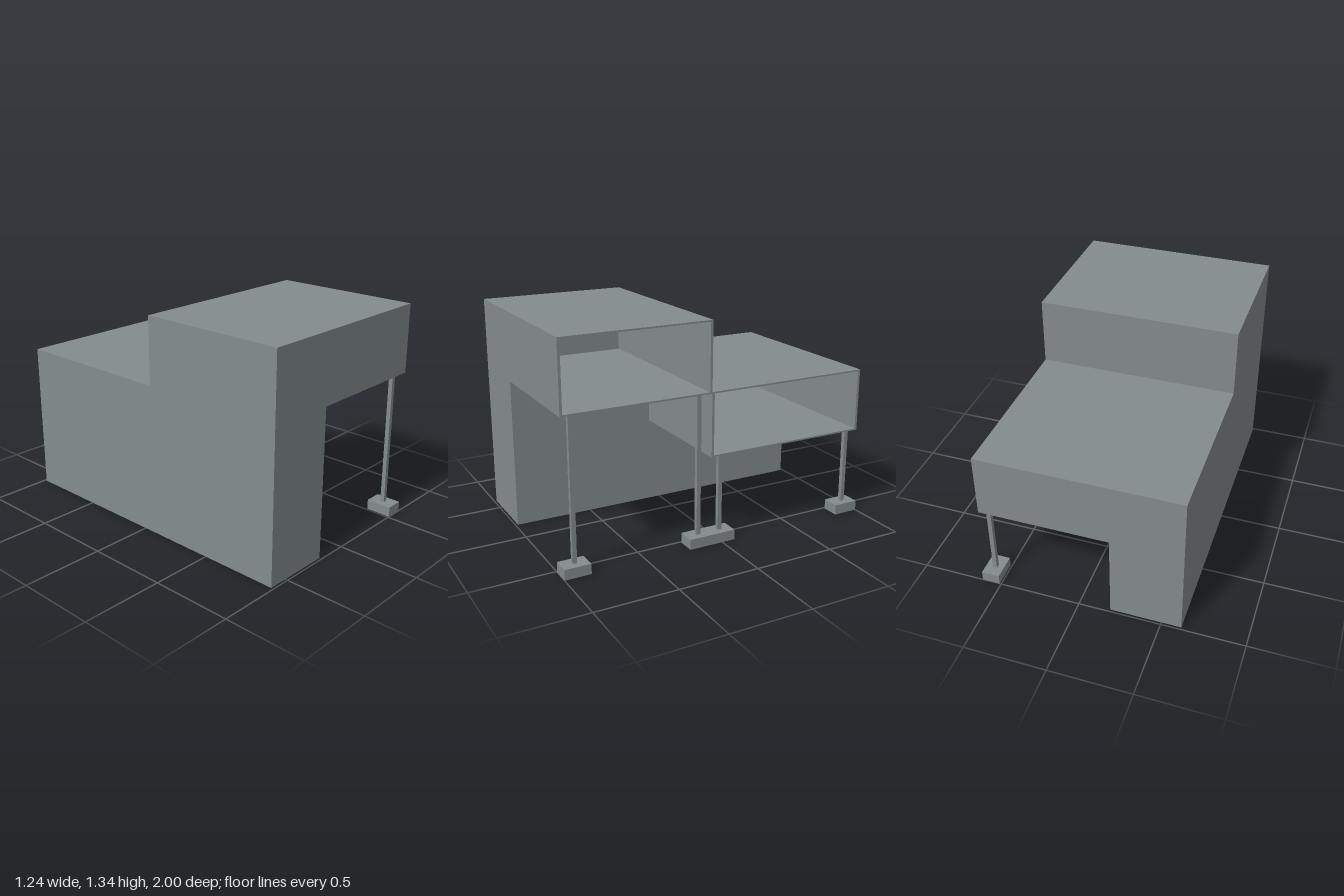
import * as THREE from 'three';

const grey = new THREE.MeshStandardMaterial({ color: 0x848c8e });
grey.name = 'concrete grey';

const X0 = -0.62, LEG = -0.19, X1 = 0.6; // back wall, inner leg face, open end
const WALL = 0.015, SLAB = 0.01;

function box(name, x0, x1, y0, y1, z0, z1) {
  const mesh = new THREE.Mesh(new THREE.BoxGeometry(x1 - x0, y1 - y0, z1 - z0), grey);
  mesh.name = name;
  mesh.position.set((x0 + x1) / 2, (y0 + y1) / 2, (z0 + z1) / 2);
  return mesh;
}

// Side profile in x/y, extruded from z0 to z1
function profile(name, points, z0, z1) {
  const shape = new THREE.Shape(points.map(([x, y]) => new THREE.Vector2(x, y)));
  const geometry = new THREE.ExtrudeGeometry(shape, { depth: z1 - z0, bevelEnabled: false });
  const mesh = new THREE.Mesh(geometry, grey);
  mesh.name = name;
  mesh.position.z = z0;
  return mesh;
}

// Cantilevered room on a full-height leg, open at the +x end
function volume(name, under, top, z0, z1) {
  const group = new THREE.Group();
  group.name = name;
  const outline = [[X0, 0], [LEG, 0], [LEG, under], [X1, under], [X1, top], [X0, top]];
  const hollow = [
    [X0, 0], [LEG, 0], [LEG, under], [X1, under], [X1, under + SLAB],
    [X0 + WALL, under + SLAB], [X0 + WALL, top - SLAB], [X1, top - SLAB], [X1, top], [X0, top],
  ];
  group.add(
    profile('frontWall', outline, z1 - WALL, z1),
    profile('legFloorAndRoof', hollow, z0 + WALL, z1 - WALL),
    profile('backWall', outline, z0, z0 + WALL),
  );
  return group;
}

export function createModel() {
  const model = new THREE.Group();
  model.name = 'steppedBuilding';

  model.add(volume('tallVolume', 0.92, 1.342, 0.07, 0.985));
  model.add(volume('lowVolume', 0.54, 0.93, -0.985, 0.07));

  // Slim posts: centre z and height of the floor they carry
  for (const [z, top] of [[0.919, 0.92], [0.139, 0.92], [-0.005, 0.54], [-0.925, 0.54]]) {
    model.add(box('post', 0.55, 0.576, 0.063, top, z - 0.013, z + 0.013));
  }

  // Footings; the middle one carries two posts
  for (const [z0, z1] of [[0.84, 1], [-0.083, 0.217], [-1, -0.84]]) {
    model.add(box('footing', 0.51, 0.62, 0, 0.063, z0, z1));
  }
  return model;
}
